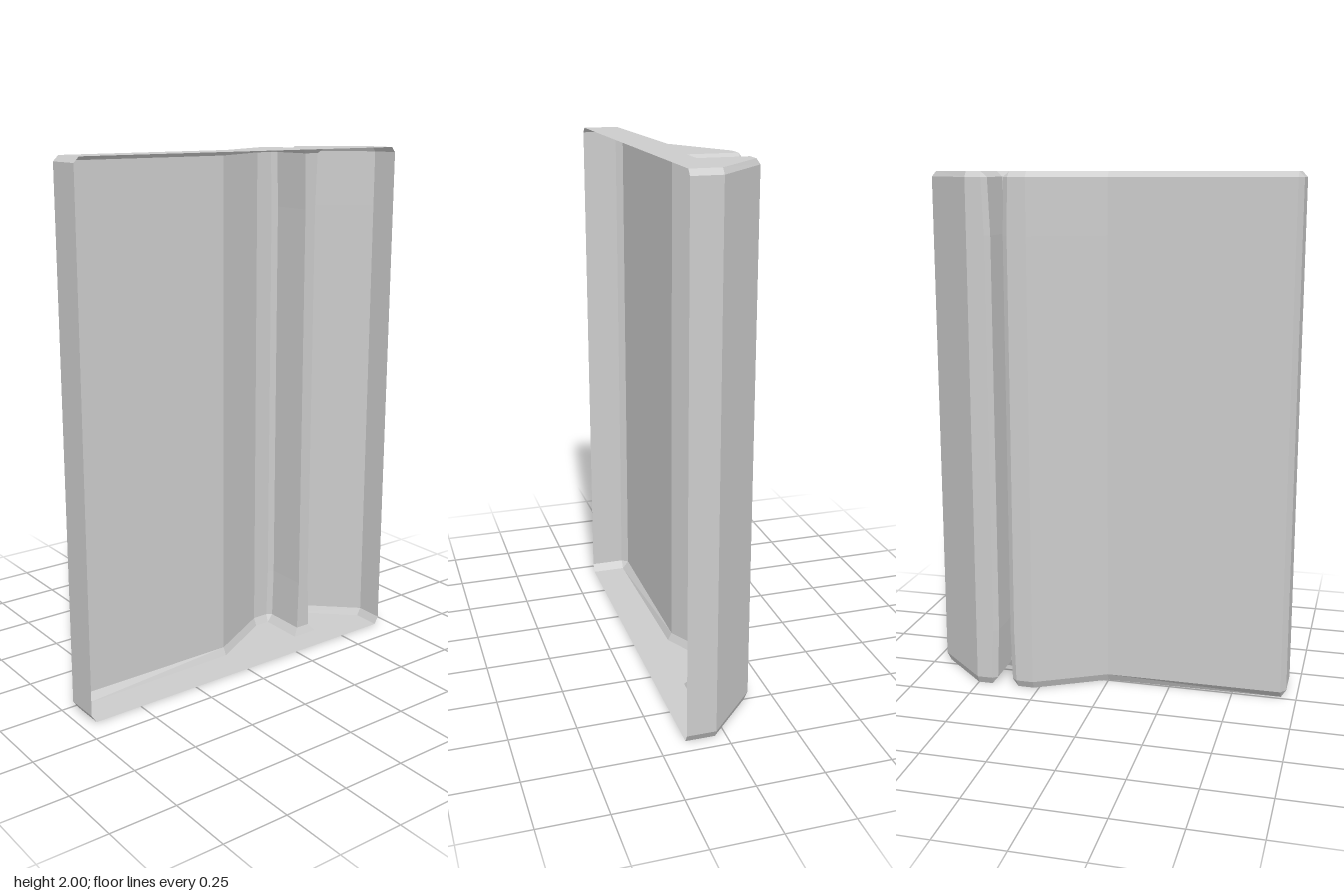
import * as THREE from 'three';

const material = new THREE.MeshStandardMaterial({ color: 0xcccccc, flatShading: true, side: THREE.DoubleSide });

// Outline of the wall in [x, z], running from the left front edge round the back;
// l and r are the side walls of the slot.
const wallOutline = (l, r) => [
  [-0.71, 0.15], [-0.71, 0.015], [-0.69, -0.01], [0, -0.01], [0.27, -0.155],
  [l - 0.02, -0.155], [l, -0.14], [l, 0.027], [r, 0.027], [r, -0.14], [r + 0.02, -0.155],
  [0.5, -0.155], [0.707, 0.04], [0.707, 0.15],
];

// Inset outline of the end plates, matched point for point to the wall
const capOutline = [
  [-0.69, 0.15], [-0.69, 0.015], [-0.69, 0.015], [0, 0.005], [0.27, -0.14],
  [0.334, -0.14], [0.334, -0.14], [0.334, 0.042], [0.443, 0.042], [0.443, -0.14], [0.443, -0.14],
  [0.5, -0.14], [0.69, 0.04], [0.69, 0.15],
];

// Loft strips between consecutive levels, open towards the front
function loft(levels) {
  const pos = [];
  const triangle = (...corners) => {
    const [a, b, c] = corners.map((p) => new THREE.Vector3(...p));
    if (b.sub(a).cross(c.sub(a)).length() > 1e-9) pos.push(...corners.flat());
  };
  for (let k = 0; k < levels.length - 1; k++) {
    const [low, high] = [levels[k], levels[k + 1]];
    const at = (level, i) => [level.outline[i][0], level.y, level.outline[i][1]];
    for (let i = 0; i < low.outline.length - 1; i++) {
      const a = at(low, i), b = at(low, i + 1), c = at(high, i + 1), d = at(high, i);
      triangle(a, d, c);
      triangle(a, c, b);
    }
  }
  const geometry = new THREE.BufferGeometry();
  geometry.setAttribute('position', new THREE.Float32BufferAttribute(pos, 3));
  geometry.computeVertexNormals();
  return geometry;
}

// Flat end plate; side is 1 for the top and -1 for the bottom
function endPlate(side) {
  const points = capOutline
    .filter((p, i) => i === 0 || p[0] !== capOutline[i - 1][0] || p[1] !== capOutline[i - 1][1])
    .map(([x, z]) => new THREE.Vector2(x, -side * z));
  return new THREE.ShapeGeometry(new THREE.Shape(points)).rotateX(-side * Math.PI / 2);
}

export function createModel() {
  const group = new THREE.Group();
  group.name = 'slottedPanel';
  const add = (name, geometry, y = 0) => {
    const mesh = new THREE.Mesh(geometry, material);
    mesh.name = name;
    mesh.position.y = y;
    group.add(mesh);
  };

  // The slot flares slightly towards both ends
  const middle = wallOutline(0.363, 0.411);
  const flared = wallOutline(0.357, 0.419);
  add('panelShell', loft([
    { y: 0.03, outline: flared },
    { y: 0.23, outline: middle },
    { y: 1.77, outline: middle },
    { y: 1.98, outline: flared },
  ]));

  // Chamfers and end plates
  add('bottomChamfer', loft([{ y: 0, outline: capOutline }, { y: 0.03, outline: flared }]));
  add('topChamfer', loft([{ y: 1.98, outline: flared }, { y: 2, outline: capOutline }]));
  add('bottomPlate', endPlate(-1));
  add('topPlate', endPlate(1), 2);
  return group;
}
